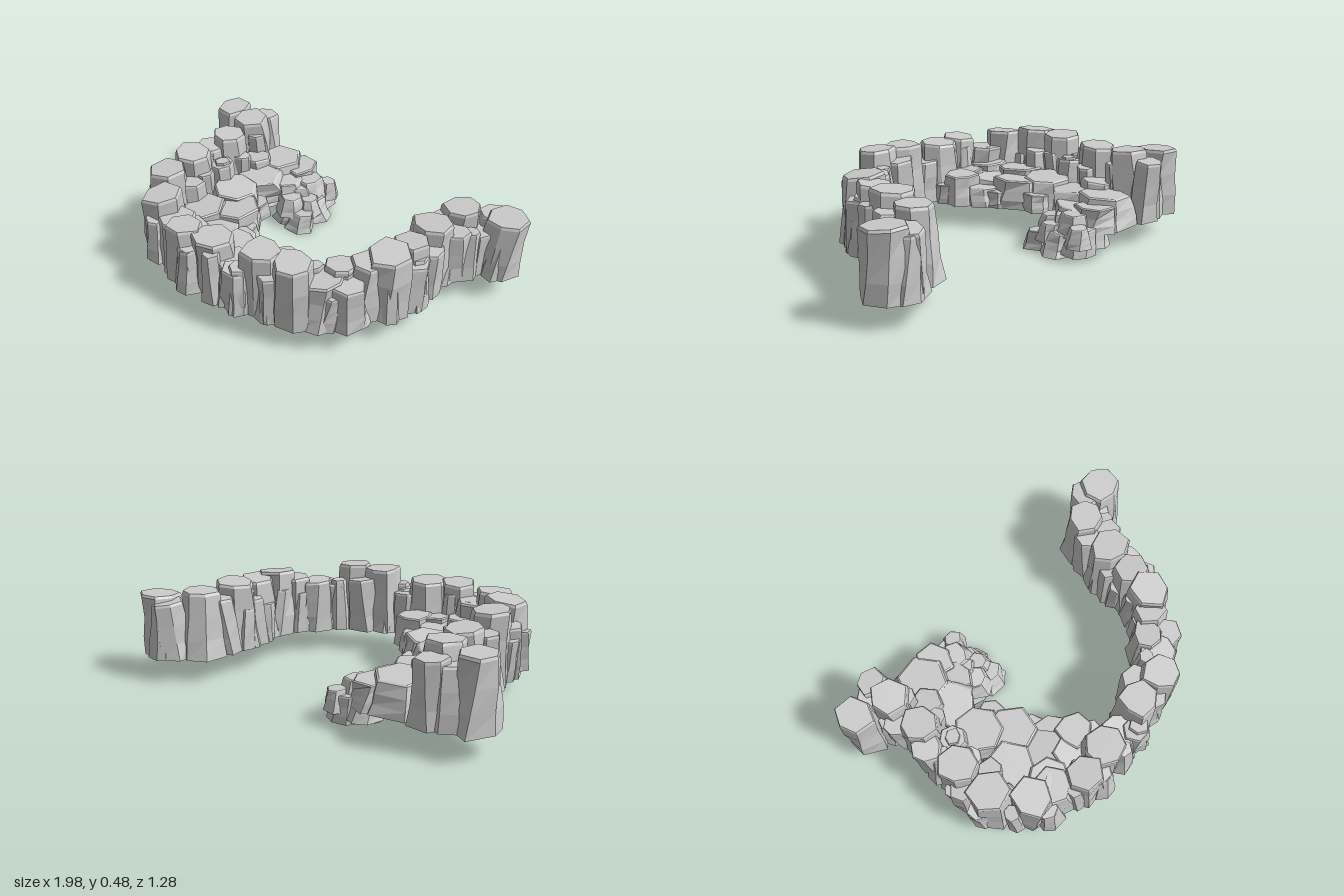
import * as THREE from 'three';

const material = new THREE.MeshStandardMaterial({ color: 0xcccccc, flatShading: true });

// Small seeded random generator
function seeded(seed) {
  let s = seed;
  return () => {
    s = (s * 16807) % 2147483647;
    return s / 2147483647;
  };
}

// Faceted rock column: flared foot, uneven twisted waist, chamfered and tilted flat top
function rock(name, x, z, r, y0, y1, seed, flare, lean) {
  const rand = seeded(seed * 7919 + 13);
  for (let i = 0; i < 5; i++) rand();
  const sides = 6 + Math.floor(rand() * 2);
  const levels = [1, 0.96, 0.62, 0.3, 0];
  const widths = [0.9, 0.97, 0.97 + (flare - 1) * 0.3, 0.98 + (flare - 1) * 0.65, flare];
  const h = y1 - y0;
  const turn = rand() * 6.28, spin = (rand() - 0.5) * 0.7;
  const leanX = (rand() - 0.5) * lean * r, leanZ = (rand() - 0.5) * lean * r;
  const tiltX = (rand() - 0.5) * 0.2, tiltZ = (rand() - 0.5) * 0.2;
  const spokes = Array.from({ length: sides }, () => 0.9 + rand() * 0.2);
  const jitter = levels.map(() => Array.from({ length: sides }, () => (rand() - 0.5) * 0.14));

  const geo = new THREE.CylinderGeometry(1, 1, 1, sides, 4);
  const p = geo.attributes.position;
  for (let i = 0; i < p.count; i++) {
    const px = p.getX(i), pz = p.getZ(i);
    const row = Math.round((0.5 - p.getY(i)) * 4);
    const t = levels[row];
    const centre = Math.hypot(px, pz) < 0.01;
    const a = Math.atan2(px, pz);
    const k = (Math.round((a / (Math.PI * 2)) * sides) + sides) % sides;
    // the chamfer follows the ring beneath it
    const w = centre ? 0 : r * widths[row] * (spokes[k] + jitter[Math.max(row, 1)][k]);
    const angle = a + turn + (1 - t) * (spin + jitter[2][k] * 3);
    const dx = Math.sin(angle) * w, dz = Math.cos(angle) * w;
    p.setXYZ(i, dx + leanX * t, y0 + h * t + (dx * tiltX + dz * tiltZ) * t, dz + leanZ * t);
  }
  geo.computeVertexNormals();
  const mesh = new THREE.Mesh(geo, material);
  mesh.position.set(x, 0, z);
  mesh.name = name;
  return mesh;
}

// Group of rocks from rows of x, z, radius, top and optional bottom
function pile(name, rows, y0, flare, lean) {
  const group = new THREE.Group();
  group.name = name;
  rows.forEach(([x, z, r, top, base = y0], i) =>
    group.add(rock(name + 'Rock', x, z, r, base, top, i * 3 + name.length, flare, lean)));
  return group;
}

export function createModel() {
  const model = new THREE.Group();
  model.name = 'rockWall';
  const base = 0.115;

  // Tall columns of the curved wall
  const columns = [
    [-0.885, -0.47, 0.1, 0.46], [-0.71, -0.43, 0.1, 0.47], [-0.7, -0.21, 0.1, 0.46],
    [-0.71, 0.05, 0.105, 0.47], [-0.7, 0.26, 0.11, 0.47], [-0.58, 0.41, 0.105, 0.45],
    [-0.33, 0.52, 0.1, 0.435], [-0.16, 0.48, 0.105, 0.43], [0.11, 0.46, 0.1, 0.465],
    [0.29, 0.44, 0.1, 0.47], [0.59, 0.11, 0.11, 0.46], [0.61, -0.05, 0.095, 0.45],
    [0.62, -0.2, 0.105, 0.465], [0.67, -0.43, 0.1, 0.46], [0.87, -0.5, 0.105, 0.435],
  ];
  model.add(pile('wallColumn', columns, base, 1.16, 0.3));

  // Shorter columns filling the gaps
  const fillers = [
    [-0.79, -0.51, 0.08, 0.4], [-0.7, -0.54, 0.075, 0.43], [-0.76, -0.32, 0.07, 0.38],
    [-0.74, -0.1, 0.08, 0.41], [-0.62, -0.08, 0.07, 0.36], [-0.76, 0.16, 0.07, 0.38],
    [-0.61, 0.17, 0.07, 0.37], [-0.45, 0.47, 0.1, 0.37], [-0.25, 0.54, 0.075, 0.36],
    [-0.03, 0.5, 0.09, 0.34], [0.03, 0.53, 0.075, 0.35], [0.2, 0.4, 0.09, 0.41],
    [0.2, 0.49, 0.07, 0.38], [0.4, 0.37, 0.1, 0.37], [0.42, 0.25, 0.085, 0.4],
    [0.52, 0.2, 0.09, 0.42], [0.5, 0.3, 0.09, 0.36], [0.66, 0.02, 0.075, 0.38],
    [0.67, -0.12, 0.075, 0.39], [0.56, -0.13, 0.06, 0.37], [0.69, -0.3, 0.085, 0.4],
    [0.6, -0.32, 0.07, 0.41], [0.77, -0.42, 0.07, 0.36], [0.78, -0.51, 0.085, 0.41],
    [0.83, -0.57, 0.06, 0.4],
  ];
  model.add(pile('gapColumn', fillers, base, 1.15, 0.6));

  // Leaning splinters tucked into both faces of the wall
  const spine = new THREE.CatmullRomCurve3([
    [-0.86, -0.47], [-0.71, -0.35], [-0.71, 0.2], [-0.55, 0.43], [-0.2, 0.52],
    [0.1, 0.48], [0.4, 0.33], [0.61, 0.08], [0.63, -0.25], [0.86, -0.5],
  ].map(([x, z]) => new THREE.Vector3(x, 0, z)));
  const rand = seeded(421);
  const splinters = [];
  for (let i = 0; i < 44; i++) {
    const t = (i + 0.5) / 44;
    const p = spine.getPointAt(t), d = spine.getTangentAt(t);
    const off = (i % 2 ? 1 : -1) * (0.05 + rand() * 0.02);
    splinters.push([p.x - d.z * off, p.z + d.x * off, 0.042 + rand() * 0.015, 0.3 + rand() * 0.1]);
  }
  model.add(pile('splinter', splinters, base, 1.35, 1.2));

  // Lower inner terrace
  const terrace = [
    [-0.51, -0.45, 0.135, 0.27], [-0.39, -0.48, 0.1, 0.24], [-0.5, -0.26, 0.13, 0.26],
    [-0.39, -0.34, 0.1, 0.22], [-0.5, -0.05, 0.13, 0.28], [-0.39, 0.08, 0.14, 0.265],
    [-0.52, 0.2, 0.13, 0.28], [-0.36, 0.27, 0.13, 0.25], [-0.25, 0.21, 0.09, 0.22],
    [-0.18, 0.31, 0.095, 0.28], [-0.44, 0.38, 0.11, 0.29], [-0.26, 0.39, 0.11, 0.27],
    [-0.6, -0.33, 0.09, 0.3], [-0.4, -0.07, 0.075, 0.21], [-0.31, 0.13, 0.09, 0.2],
    [-0.11, 0.36, 0.055, 0.22],
  ];
  model.add(pile('terrace', terrace, base, 1.14, 0.3));

  // Squat flared rubble stepping down below the terrace
  const rubble = [
    [-0.23, -0.26, 0.065, 0.1, 0], [-0.32, -0.29, 0.07, 0.11, 0], [-0.23, -0.39, 0.07, 0.12, 0],
    [-0.32, -0.4, 0.07, 0.15, 0], [-0.27, -0.49, 0.07, 0.15, 0.02], [-0.36, -0.5, 0.07, 0.17, 0.05],
    [-0.41, -0.37, 0.07, 0.16, 0.06], [-0.45, -0.27, 0.07, 0.16, 0.09],
    [-0.22, -0.33, 0.05, 0.15, 0.06], [-0.29, -0.44, 0.07, 0.21, 0.1], [-0.3, -0.27, 0.06, 0.17, 0.07],
    [-0.23, -0.53, 0.05, 0.17, 0.07], [-0.31, -0.35, 0.06, 0.19, 0.1],
  ];
  model.add(pile('rubble', rubble, 0, 1.4, 0.6));

  return model;
}
